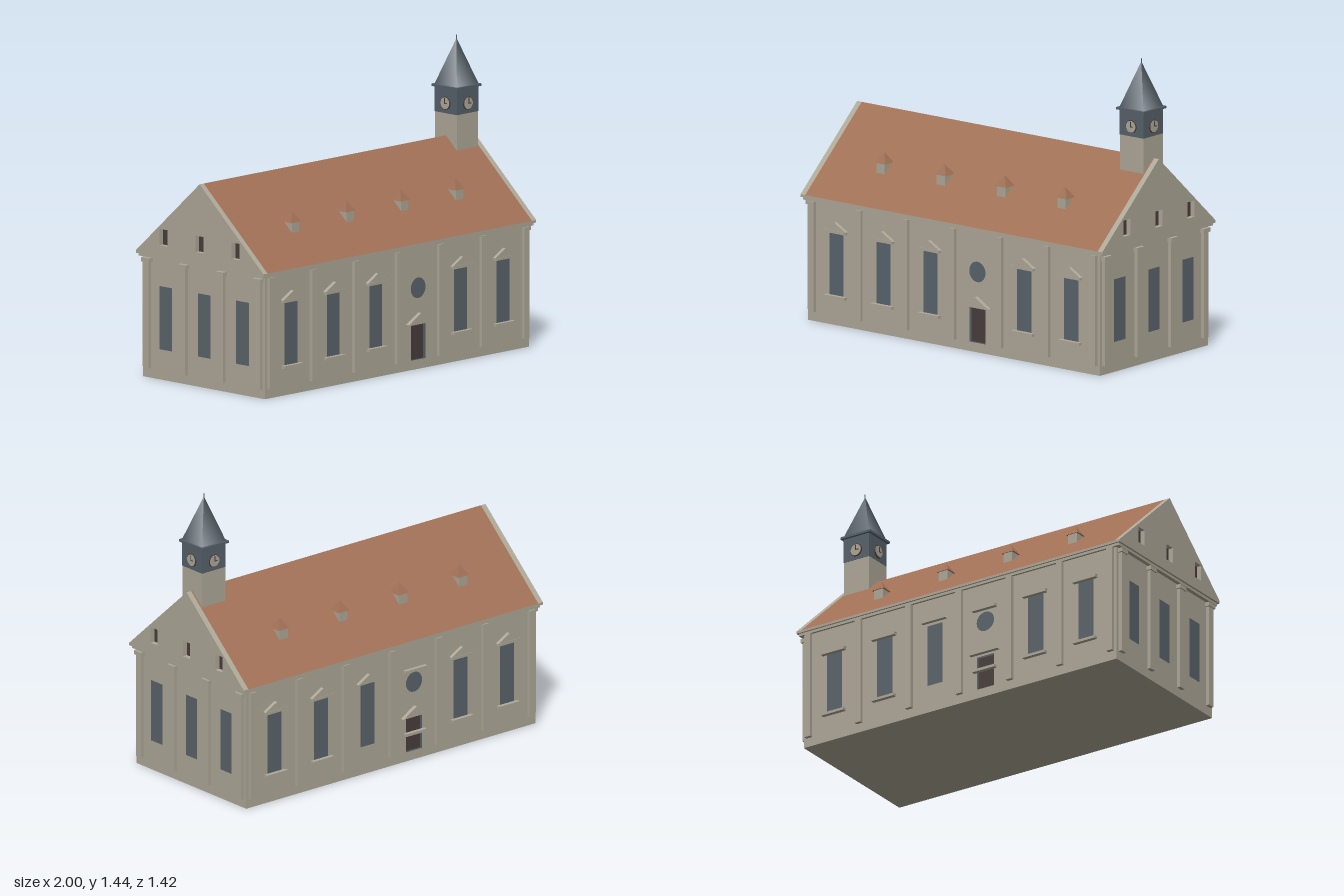
import * as THREE from 'three';

const mat = (name, color) => Object.assign(new THREE.MeshStandardMaterial({ color }), { name });

export function createModel() {
  const stone = mat('stone', 0xaea898), tile = mat('roofTile', 0xa07055), slate = mat('slate', 0x56616a);
  const glass = mat('glass', 0x5a646c), dark = mat('darkWood', 0x483e3b);

  const L = 1.76, W = 0.793;            // walls
  const RL = 1.82, RW = 0.83;           // roof outline
  const T = 0.02, EAVE = 0.6, RIDGE = 0.97, BAY = 0.283;

  const church = new THREE.Group();
  church.name = 'church';
  church.rotation.y = THREE.MathUtils.degToRad(20.8);

  const add = (parent, name, geo, material, x = 0, y = 0, z = 0) => {
    const m = new THREE.Mesh(geo, material);
    m.name = name;
    m.position.set(x, y, z);
    parent.add(m);
    return m;
  };
  // box given by its centre in x and z and its bottom and top in y
  const box = (parent, name, material, w, y0, y1, d, x = 0, z = 0) =>
    add(parent, name, new THREE.BoxGeometry(w, y1 - y0, d), material, x, (y0 + y1) / 2, z);
  const polygon = (pts, Type = THREE.Shape) => new Type(pts.map(([x, y]) => new THREE.Vector2(x, y)));
  const rectPoints = (x, w, y0, y1) => [[x - w / 2, y0], [x - w / 2, y1], [x + w / 2, y1], [x + w / 2, y0]];
  const rectHole = (shape, ...r) => shape.holes.push(polygon(rectPoints(...r), THREE.Path));
  const extrude = (shape, depth) =>
    new THREE.ExtrudeGeometry(shape, { depth, bevelEnabled: false, curveSegments: 16 });
  const triangle = (half, y0, y1) => polygon([[-half, y0], [half, y0], [0, y1]]);

  // Floor and the dark glazed core seen through the openings
  box(church, 'floor', stone, L - 2 * T, 0, 0.01, W - 2 * T);
  box(church, 'glazing', glass, L - 2 * T, 0.01, 0.58, W - 2 * T);

  // Long facades: six bays, one of them with a door and a round window
  const facade = (name, angle, plainBay) => {
    const g = new THREE.Group();
    g.name = name;
    g.rotation.y = angle;
    church.add(g);
    const face = W / 2;
    const wall = polygon(rectPoints(0, L, 0, 0.58));
    for (let i = 0; i < 6; i++) {
      const x = (i - 2.5) * BAY;
      if (i === 3) {
        rectHole(wall, x, 0.097, 0.045, 0.21);
        const round = new THREE.Path();
        round.absarc(x, 0.385, 0.049, 0, Math.PI * 2, true);
        wall.holes.push(round);
        box(g, 'door', dark, 0.097, 0.045, 0.21, 0.006, x, face - T + 0.002);
        add(g, 'doorPediment', extrude(triangle(0.08, 0.22, 0.268), 0.02), stone, x, 0, face);
      } else {
        rectHole(wall, x, 0.086, 0.137, 0.443);
        add(g, 'windowPediment', extrude(triangle(0.068, 0.456, 0.495), 0.018), stone, x, 0, face);
      }
      if (i !== plainBay) {
        box(g, 'windowLedge', stone, 0.13, 0.443, 0.457, 0.02, x, face + 0.01);
        box(g, 'windowSill', stone, 0.125, 0.13, 0.143, 0.02, x, face + 0.01);
      }
    }
    add(g, 'longWall', extrude(wall, T), stone, 0, 0, face - T);
    for (let i = 0; i < 7; i++)
      box(g, 'pilaster', stone, 0.032, 0.045, 0.575, 0.018, (i - 3) * BAY, face + 0.009);
  };
  facade('frontFacade', 0, 3);
  facade('backFacade', Math.PI, 2);

  // Gable ends
  for (const side of [1, -1]) {
    const g = new THREE.Group();
    g.name = side > 0 ? 'leftGableEnd' : 'rightGableEnd';
    g.rotation.y = side * Math.PI / 2;
    church.add(g);
    const face = L / 2;
    const wall = polygon(rectPoints(0, W - 2 * T, 0, 0.58));
    const gable = triangle(RW / 2, EAVE, RIDGE);
    for (const x of [-0.25, 0, 0.25]) {
      rectHole(wall, x, 0.082, 0.143, 0.443);
      rectHole(gable, x * 0.94, 0.052, 0.645, 0.723);
      box(g, 'atticShutter', dark, 0.052, 0.645, 0.723, 0.004, x * 0.94, RL / 2 - 0.026);
    }
    add(g, 'endWall', extrude(wall, T), stone, 0, 0, face - T);
    add(g, 'gable', extrude(gable, 0.028), stone, 0, 0, RL / 2 - 0.028);
    for (const x of [-0.362, -0.123, 0.123, 0.362]) {
      box(g, 'pilaster', stone, 0.036, 0.045, 0.55, 0.018, x, face + 0.009);
      box(g, 'capital', stone, 0.05, 0.55, 0.57, 0.024, x, face + 0.012);
    }
  }

  // Cornice in two steps under the eaves
  box(church, 'lowerCornice', stone, L + 0.04, 0.575, 0.588, W + 0.022);
  box(church, 'upperCornice', stone, RL, 0.588, EAVE, RW);

  // Main roof
  const roofLength = RL - 0.056;
  const roof = add(church, 'mainRoof', extrude(triangle(RW / 2, EAVE, RIDGE), roofLength), tile, -roofLength / 2);
  roof.rotation.y = Math.PI / 2;

  // Square pyramid with its sides along x and z
  const pyramid = (w, h) => new THREE.ConeGeometry(w / Math.SQRT2, h, 4).rotateY(Math.PI / 4);

  // Dormers on both slopes
  for (const s of [1, -1])
    for (const x of [-0.546, -0.182, 0.182, 0.546]) {
      box(church, 'dormer', stone, 0.05, 0.727, 0.778, 0.056, x, s * 0.243);
      const cap = pyramid(0.064, 0.05).toNonIndexed();
      cap.computeVertexNormals();
      add(church, 'dormerRoof', cap, tile, x, 0.801, s * 0.243);
    }

  // Tower
  const tower = new THREE.Group();
  tower.name = 'tower';
  tower.position.x = 0.804;
  church.add(tower);
  const TW = 0.142;
  box(tower, 'towerShaft', stone, TW, 0.78, 1.075, TW);
  box(tower, 'belfry', slate, TW + 0.002, 1.075, 1.195, TW + 0.002);
  box(tower, 'towerCornice', slate, 0.166, 1.195, 1.206, 0.166);
  add(tower, 'spire', pyramid(0.145, 0.216), slate, 0, 1.314);
  add(tower, 'finial', new THREE.CylinderGeometry(0.002, 0.003, 0.03, 8), slate, 0, 1.422);

  // Clocks on the four sides
  for (let i = 0; i < 4; i++) {
    const clock = new THREE.Group();
    clock.name = 'clock';
    clock.rotation.y = i * Math.PI / 2;
    tower.add(clock);
    const z = TW / 2 + 0.001;
    add(clock, 'clockRim', new THREE.CylinderGeometry(0.031, 0.031, 0.006, 24).rotateX(Math.PI / 2), dark, 0, 1.123, z + 0.002);
    add(clock, 'clockFace', new THREE.CylinderGeometry(0.028, 0.028, 0.006, 24).rotateX(Math.PI / 2), stone, 0, 1.123, z + 0.004);
    box(clock, 'minuteHand', dark, 0.004, 1.121, 1.147, 0.002, 0, z + 0.008);
    box(clock, 'hourHand', dark, 0.016, 1.121, 1.125, 0.002, 0.008, z + 0.008);
  }

  const model = new THREE.Group();
  model.name = 'model';
  model.add(church);
  return model;
}
